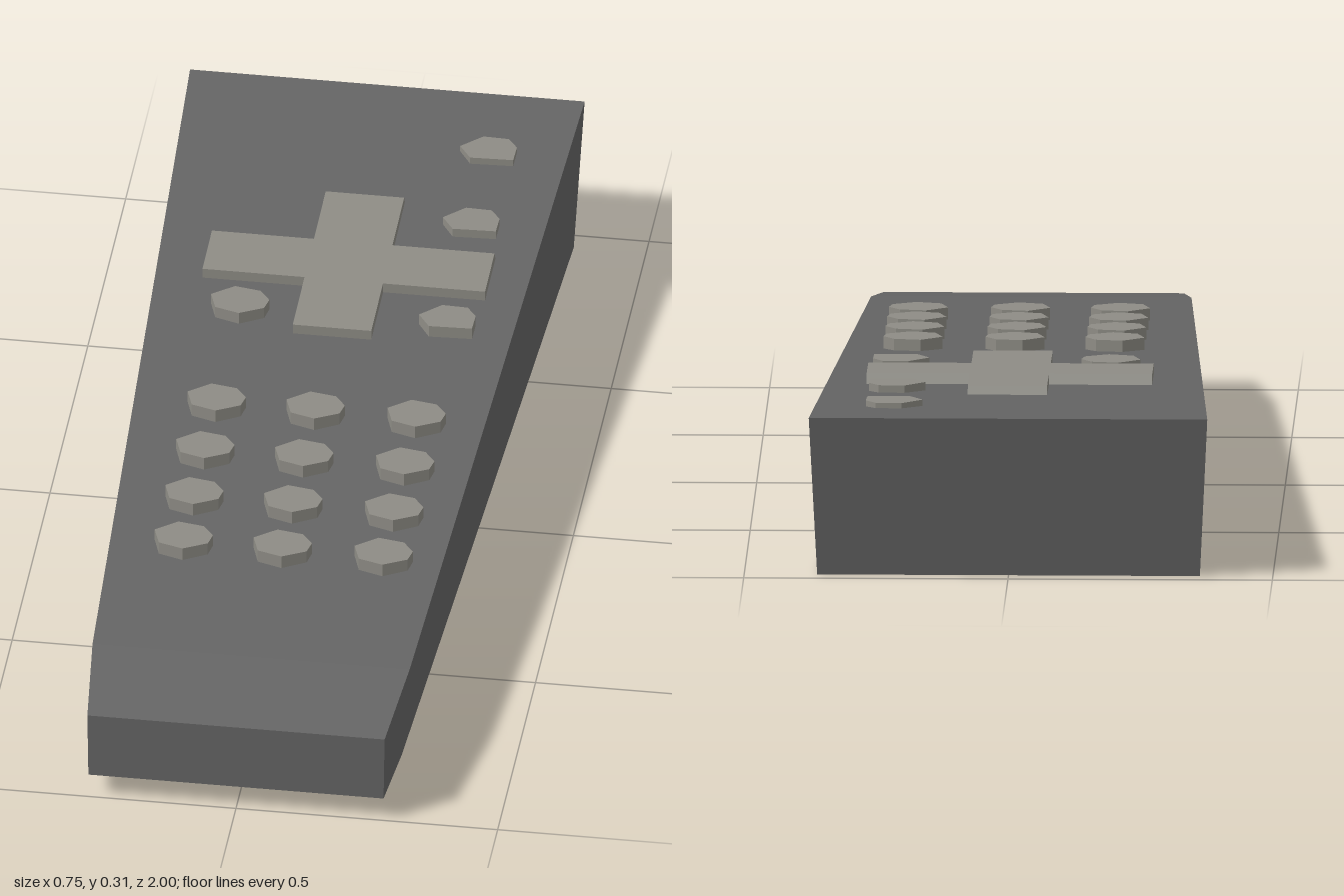
import * as THREE from 'three';

const bodyMat = new THREE.MeshStandardMaterial({ color: 0x646464 });
bodyMat.name = 'dark grey casing';
const keyMat = new THREE.MeshStandardMaterial({ color: 0x8e8c85 });
keyMat.name = 'light grey keys';

// Height of the sloping upper face at a given z
const deckY = z => 0.213 + (0.8 - z) * 0.0528;

// Wedge casing lofted through four-cornered sections, front to back
function casingGeometry() {
  // each section: [x, y, z] of the top edge, then of the bottom edge
  const sections = [
    [[0.284, 0.185, 1], [0.282, 0.05, 1]],
    [[0.303, 0.213, 0.8], [0.292, 0.036, 0.83]],
    [[0.377, 0.308, -1], [0.362, 0, -0.96]],
  ].map(([t, b]) => [t, [-t[0], t[1], t[2]], [-b[0], b[1], b[2]], b]);
  const pos = [];
  const quad = (a, b, c, d) => pos.push(...a, ...b, ...c, ...a, ...c, ...d);
  quad(...sections[0]);
  for (let s = 0; s < sections.length - 1; s++) {
    const f = sections[s], r = sections[s + 1];
    for (let i = 0; i < 4; i++) {
      const j = (i + 1) % 4;
      quad(f[j], f[i], r[i], r[j]);
    }
  }
  quad(...sections[sections.length - 1].slice().reverse());
  const geo = new THREE.BufferGeometry();
  geo.setAttribute('position', new THREE.Float32BufferAttribute(pos, 3));
  geo.computeVertexNormals();
  return geo;
}

// Upright slab from an outline of [x, z] points
function slab(outline, height) {
  const shape = new THREE.Shape(outline.map(([x, z]) => new THREE.Vector2(x, -z)));
  const geo = new THREE.ExtrudeGeometry(shape, { depth: height, bevelEnabled: false });
  return geo.rotateX(-Math.PI / 2);
}

// Cross pad, tilted to follow the casing, with its back edges leaning
function crossGeometry() {
  const cx = 0.01, w = 0.075, l = 0.27, b = -0.635, f = -0.2, ab = -0.48, af = -0.355;
  const geo = slab([
    [cx - w, b], [cx + w, b], [cx + w, ab], [cx + l, ab], [cx + l, af], [cx + w, af],
    [cx + w, f], [cx - w, f], [cx - w, af], [cx - l, af], [cx - l, ab], [cx - w, ab],
  ], 0.02);
  const p = geo.attributes.position;
  for (let i = 0; i < p.count; i++) {
    const z = p.getZ(i), low = p.getY(i) < 0.01;
    p.setY(i, p.getY(i) + 0.273 - 0.028 * (z + 0.2));
    if (low && (Math.abs(z - b) < 0.001 || Math.abs(z - ab) < 0.001)) p.setZ(i, z - 0.012);
  }
  geo.computeVertexNormals();
  return geo;
}

export function createModel() {
  const model = new THREE.Group();
  model.name = 'remoteControl';
  const add = (name, geo, mat, x = 0, y = 0, z = 0) => {
    const mesh = new THREE.Mesh(geo, mat);
    mesh.name = name;
    mesh.position.set(x, y, z);
    model.add(mesh);
  };

  add('casing', casingGeometry(), bodyMat);
  add('crossPad', crossGeometry(), keyMat);

  // Low-poly keys: a rough hexagon, and a lopsided one for the side column
  const hexKey = slab([[-0.056, -0.012], [-0.015, -0.045], [0.035, -0.036], [0.056, -0.008],
    [0.05, 0.02], [0.005, 0.044], [-0.042, 0.03]], 0.05);
  const sideKey = slab([[-0.054, 0], [-0.015, -0.038], [0.034, -0.036], [0.053, -0.01],
    [0.052, 0.033], [-0.03, 0.036]], 0.05);
  const addKey = (name, geo, x, z, rise) => add(name, geo, keyMat, x, deckY(z) + rise - 0.05, z);

  for (const z of [0.04, 0.19, 0.335, 0.475])
    for (const x of [-0.177, 0.012, 0.205]) addKey('numberKey', hexKey, x, z, 0.024);
  addKey('leftKey', hexKey, -0.177, -0.27, 0.022);
  addKey('rightKey', sideKey, 0.22, -0.27, 0.022);
  addKey('upperKey', sideKey, 0.22, -0.585, 0.016);
  addKey('powerKey', sideKey, 0.22, -0.815, 0.012);
  return model;
}
